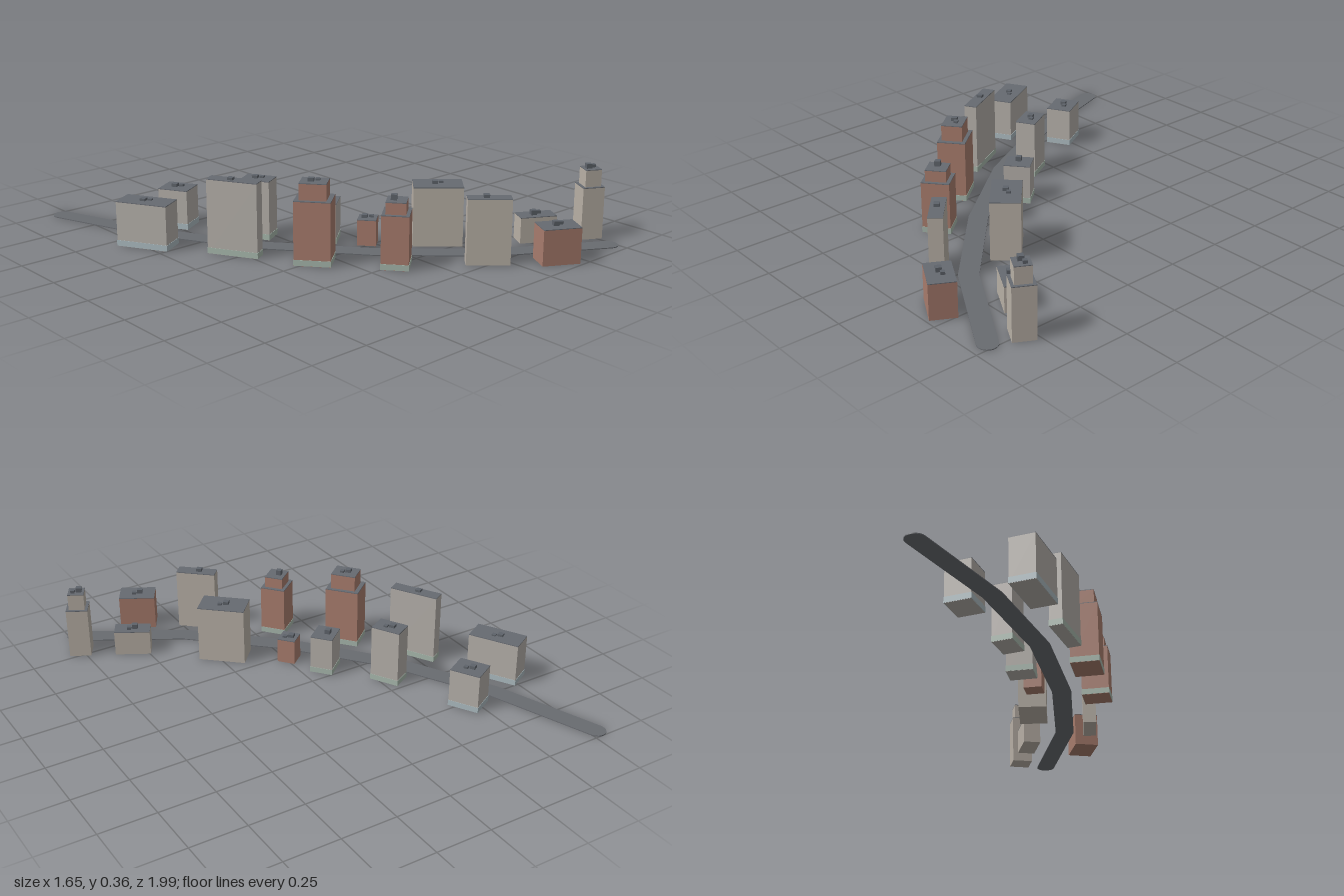
import * as THREE from 'three';

const mat = (name, color) => Object.assign(new THREE.MeshStandardMaterial({ color }), { name });

export function createModel() {
  const root = new THREE.Group();
  root.name = 'streetBlock';

  const stone = mat('warm stone', 0xb8b0a6);
  const concrete = mat('concrete', 0xb2ada7);
  const brick = mat('brick', 0xa87c6d);
  const roofing = mat('roofing', 0x666a71);
  const asphalt = mat('asphalt', 0x686b70);
  const plant = mat('roof plant', 0x5e636a);
  const blueGlass = mat('blue shopfront', 0xa9b8bd);
  const greenGlass = mat('green shopfront', 0xa5b5aa);

  const box = (parent, name, w, h, d, y, material) => {
    const mesh = new THREE.Mesh(new THREE.BoxGeometry(w, h, d), material);
    mesh.name = name;
    mesh.position.y = y + h / 2;
    parent.add(mesh);
    return mesh;
  };

  // Road: a bent ribbon with mitred joints and round ends
  const path = [[-0.785, -0.96], [-0.62, -0.49], [-0.39, -0.06], [-0.08, 0.33], [0.285, 0.67], [0.72, 0.925]]
    .map(([x, z]) => new THREE.Vector2(x, -z));
  const r = 0.042, last = path.length - 1;
  const dirs = path.slice(1).map((p, i) => p.clone().sub(path[i]).normalize());
  const edge = (i, s) => {
    const a = dirs[Math.max(i - 1, 0)], b = dirs[Math.min(i, last - 1)];
    const m = a.clone().add(b).normalize();
    const k = s * r / m.dot(a);
    return new THREE.Vector2(path[i].x - m.y * k, path[i].y + m.x * k);
  };
  const cap = (c, start) => Array.from({ length: 11 }, (_, i) => {
    const t = start - Math.PI * (i + 1) / 12;
    return new THREE.Vector2(c.x + r * Math.cos(t), c.y + r * Math.sin(t));
  });
  const outline = [
    ...path.map((_, i) => edge(i, 1)),
    ...cap(path[last], dirs[last - 1].angle() + Math.PI / 2),
    ...path.map((_, i) => edge(last - i, -1)),
    ...cap(path[0], dirs[0].angle() - Math.PI / 2),
  ];
  const roadGeo = new THREE.ExtrudeGeometry(new THREE.Shape(outline), { depth: 0.004, bevelEnabled: false });
  roadGeo.rotateX(-Math.PI / 2);
  const road = new THREE.Mesh(roadGeo, asphalt);
  road.name = 'road';
  root.add(road);

  // A walled block with a thin roof covering
  const slab = 0.003;
  const storey = (g, name, w, l, y, top, wall) => {
    box(g, name + 'Walls', w, top - y - slab, l, y, wall);
    box(g, name + 'Roof', w, slab, l, top - slab, roofing);
  };

  // A building lined up with one stretch of the road
  const building = (stretch, x, z, length, depth, height, wall,
    { shop, top = height, units = 2, unitHeight = 0.014 } = {}) => {
    const g = new THREE.Group();
    g.name = 'building';
    g.position.set(x, 0, z);
    g.rotation.y = Math.atan2(dirs[stretch].x, -dirs[stretch].y) + 0.015;
    root.add(g);

    storey(g, 'main', depth, length, 0, height, wall);
    if (shop) box(g, 'shopfront', depth + 0.003, 0.025, length + 0.003, 0.001, shop);
    // Set-back upper storey
    if (top > height) storey(g, 'upper', depth * 0.74, length * 0.74, height, top, wall);
    // Rooftop equipment: a main unit and a lower one beside it
    for (let i = 0; i < units; i++) {
      const size = 0.024 - 0.006 * i;
      const unit = box(g, 'rooftopUnit', size, unitHeight * (1 - 0.35 * i), size, top, plant);
      unit.position.x = i * 0.012 - 0.002;
      unit.position.z = i * 0.026 - 0.012;
    }
  };

  // Upper stretch
  building(1, -0.47, -0.505, 0.135, 0.113, 0.176, concrete, { shop: blueGlass });
  building(1, -0.723, -0.375, 0.229, 0.109, 0.196, concrete, { shop: blueGlass, unitHeight: 0.01 });
  building(1, -0.3, -0.153, 0.131, 0.09, 0.26, concrete, { shop: greenGlass, unitHeight: 0.012 });
  building(1, -0.52, -0.037, 0.222, 0.056, 0.322, concrete, { shop: greenGlass, units: 1, unitHeight: 0.01 });

  // Middle stretch
  building(2, -0.113, 0.074, 0.1, 0.115, 0.176, concrete, { shop: greenGlass, units: 1, unitHeight: 0.02 });
  building(2, -0.016, 0.226, 0.08, 0.08, 0.114, brick);
  building(2, -0.335, 0.25, 0.152, 0.123, 0.274, brick, { shop: greenGlass, top: 0.345 });
  building(2, -0.12, 0.505, 0.113, 0.12, 0.23, brick,
    { shop: greenGlass, top: 0.281, units: 1, unitHeight: 0.023 });

  // Lower stretch
  building(3, 0.211, 0.412, 0.21, 0.126, 0.26, stone);
  building(3, 0.177, 0.731, 0.18, 0.06, 0.281, stone, { units: 1 });

  // End of the road
  building(4, 0.409, 0.9, 0.163, 0.11, 0.155, brick, { unitHeight: 0.019 });
  building(4, 0.546, 0.67, 0.16, 0.08, 0.114, stone, { unitHeight: 0.021 });
  building(4, 0.752, 0.789, 0.096, 0.094, 0.23, stone, { top: 0.305, unitHeight: 0.02 });

  return root;
}
